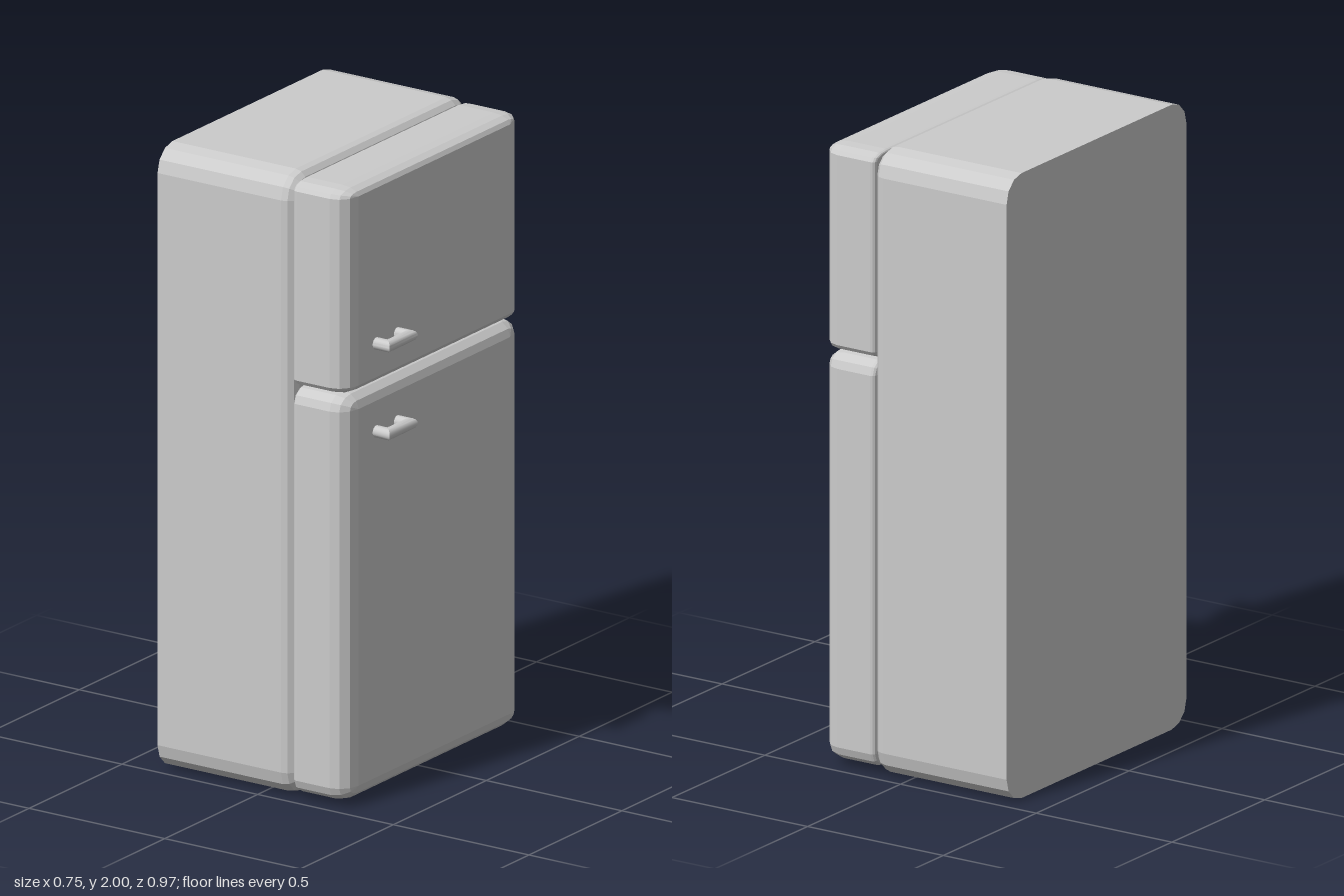
import * as THREE from 'three';
import { toCreasedNormals } from 'three/addons/utils/BufferGeometryUtils.js';

const STEPS = 3; // facets per rounded corner

// Skin a list of closed rings (equal point counts) and cap both ends.
function loft(rings) {
  const n = rings[0].length;
  const pos = rings.flat().flatMap((p) => p.toArray());
  const index = [];
  for (let i = 0; i < rings.length - 1; i++) {
    for (let j = 0; j < n; j++) {
      const k = (j + 1) % n;
      const a = i * n + j, b = i * n + k, c = b + n, d = a + n;
      index.push(a, b, c, a, c, d);
    }
  }
  [0, rings.length - 1].forEach((r) => {
    const centre = new THREE.Vector3();
    rings[r].forEach((p) => centre.addScaledVector(p, 1 / n));
    const ci = pos.length / 3;
    pos.push(...centre.toArray());
    for (let j = 0; j < n; j++) {
      const a = r * n + j, b = r * n + (j + 1) % n;
      index.push(ci, r ? a : b, r ? b : a);
    }
  });
  const geo = new THREE.BufferGeometry();
  geo.setAttribute('position', new THREE.Float32BufferAttribute(pos, 3));
  geo.setIndex(index);
  geo.computeVertexNormals();
  return geo;
}

// Rounded rectangle across the yz plane at a given x, pulled in by iz and iy.
function section(x, s, iz, iy) {
  const cy = (s.y0 + s.y1) / 2, cz = (s.z0 + s.z1) / 2;
  const rz = Math.max(s.rz - iz, 0), ry = Math.max(s.ry - iy, 0);
  const hw = (s.z1 - s.z0) / 2 - iz - rz, hh = (s.y1 - s.y0) / 2 - iy - ry;
  const ring = [];
  [[1, 1], [-1, 1], [-1, -1], [1, -1]].forEach(([su, sv], q) => {
    for (let k = 0; k <= STEPS; k++) {
      const a = (q + k / STEPS) * Math.PI / 2;
      const u = su * hw + rz * Math.cos(a), v = sv * hh + ry * Math.sin(a);
      ring.push(new THREE.Vector3(x, cy + v, cz - u));
    }
  });
  return ring;
}

// Rounded slab running along x; front and back are edge roundings [depth, z, y].
function slab(s) {
  const rings = [];
  const edge = (x, dir, [d, ez, ey]) => {
    for (let k = 0; k <= STEPS; k++) {
      const a = (dir > 0 ? k : STEPS - k) / STEPS * Math.PI / 2;
      const inset = 1 - Math.cos(a);
      rings.push(section(x - dir * d * (1 - Math.sin(a)), s, ez * inset, ey * inset));
    }
  };
  if (s.back) edge(s.x0, -1, s.back);
  else rings.push(section(s.x0, s, 0, 0));
  edge(s.x1, 1, s.front);
  return loft(rings);
}

// Round bar bent into a mitred bracket.
function handleGeometry(y) {
  const r = 0.019, sides = 16;
  const path = [[0.295, 0.204, 0, -1], [0.356, 0.204, 1, -1], [0.356, 0.318, 1, 1], [0.295, 0.318, 0, 1]];
  const rings = path.map(([x, z, ox, oz]) => Array.from({ length: sides }, (_, j) => {
    const a = j / sides * Math.PI * 2, d = r * Math.cos(a);
    return new THREE.Vector3(x + ox * d, y + r * Math.sin(a), z + oz * d);
  }));
  return toCreasedNormals(loft(rings), 0.6);
}

export function createModel() {
  const group = new THREE.Group();
  const faceted = new THREE.MeshStandardMaterial({ color: 0xcccccc, flatShading: true });
  const smooth = new THREE.MeshStandardMaterial({ color: 0xcccccc });
  const add = (name, geo, mat) => {
    const mesh = new THREE.Mesh(geo, mat);
    mesh.name = name;
    group.add(mesh);
  };

  // Cabinet: flat back, softened front edge
  add('cabinet', slab({
    x0: -0.38, x1: 0.115, y0: 0, y1: 2, z0: -0.484, z1: 0.484,
    rz: 0.08, ry: 0.08, front: [0.04, 0.04, 0.04],
  }), faceted);

  // Doors: the short one has its rounding squashed vertically
  const door = { x0: 0.115, x1: 0.312, z0: -0.473, z1: 0.482, rz: 0.07 };
  add('fridgeDoor', slab({
    ...door, y0: 0.014, y1: 1.325, ry: 0.05, front: [0.06, 0.07, 0.05], back: [0.015, 0.015, 0.012],
  }), faceted);
  add('freezerDoor', slab({
    ...door, y0: 1.325, y1: 1.985, ry: 0.026, front: [0.06, 0.07, 0.026], back: [0.015, 0.015, 0.007],
  }), faceted);

  // Handles
  add('fridgeHandle', handleGeometry(1.177), smooth);
  add('freezerHandle', handleGeometry(1.46), smooth);
  return group;
}
